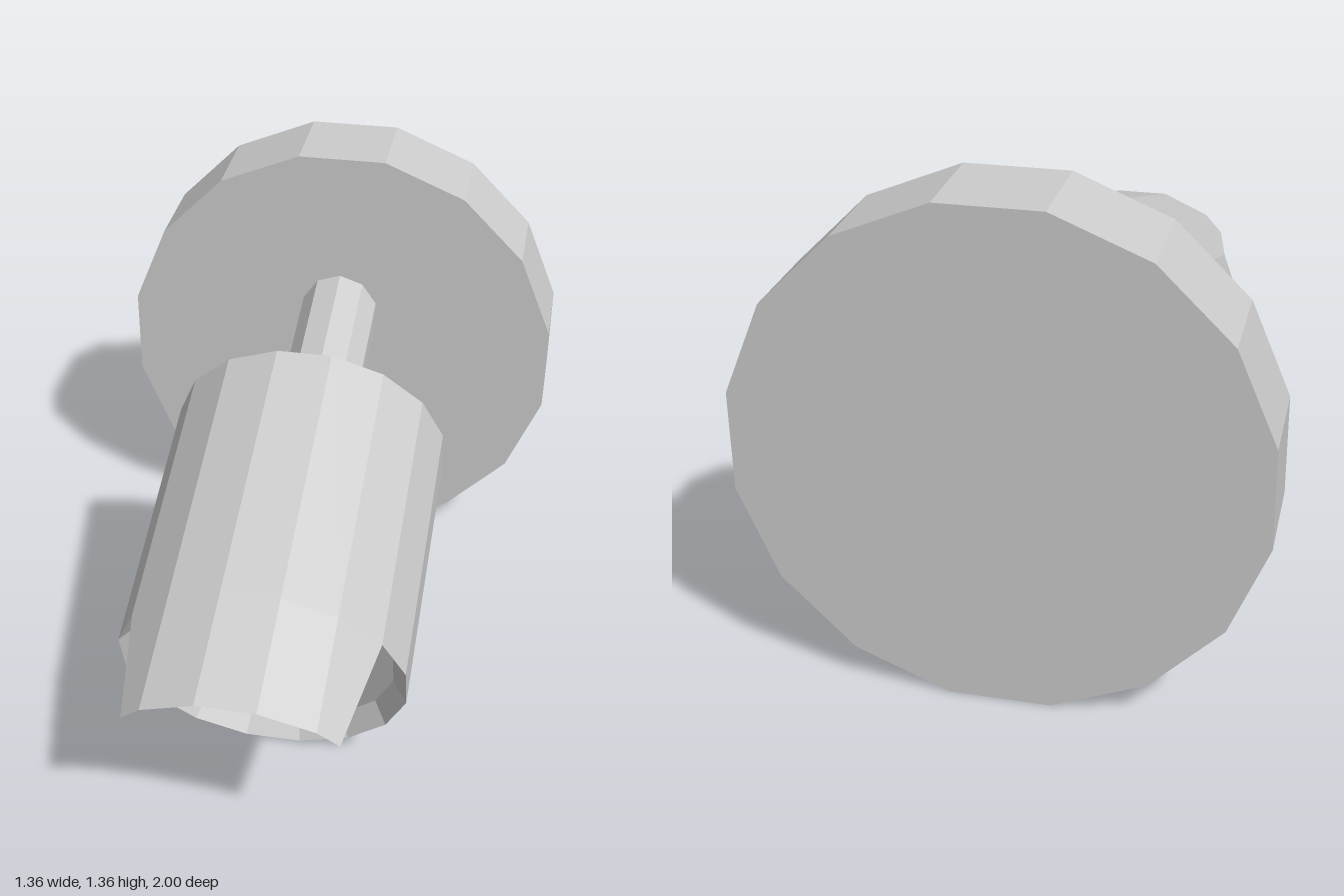
import * as THREE from 'three';

const material = new THREE.MeshStandardMaterial({ color: 0xcccccc, flatShading: true });
const thinMaterial = new THREE.MeshStandardMaterial({ color: 0xcccccc, flatShading: true, side: THREE.DoubleSide });

const SIDES = 16;
const HALF_STEP = Math.PI / SIDES; // puts a flat facet at the top
const HEAD_RADIUS = 0.41;
const HEAD_LENGTH = 0.82;
const VISOR_TIP = 1.155;

function addPart(parent, name, geometry, mat = material) {
  const mesh = new THREE.Mesh(geometry, mat);
  mesh.name = name;
  parent.add(mesh);
  return mesh;
}

// Thin visor continuing the upper facets of the lamp head; its ends are cut at a slant
function visorGeometry() {
  const positions = [];
  const index = [];
  const steps = [-5, -3, -1, 1, 3, 5];
  steps.forEach((step, i) => {
    const end = Math.abs(step) === 5;
    const rootAngle = step * HALF_STEP;
    const tipAngle = end ? Math.sign(step) * 4 * HALF_STEP : rootAngle;
    const tipRadius = end ? HEAD_RADIUS * Math.cos(HALF_STEP) : HEAD_RADIUS;
    positions.push(HEAD_RADIUS * Math.sin(rootAngle), HEAD_RADIUS * Math.cos(rootAngle), HEAD_LENGTH);
    positions.push(tipRadius * Math.sin(tipAngle), tipRadius * Math.cos(tipAngle), VISOR_TIP);
    if (i < steps.length - 1) {
      const a = 2 * i;
      index.push(a, a + 1, a + 2, a + 2, a + 1, a + 3);
    }
  });
  const geometry = new THREE.BufferGeometry();
  geometry.setAttribute('position', new THREE.Float32BufferAttribute(positions, 3));
  geometry.setIndex(index);
  geometry.computeVertexNormals();
  return geometry;
}

export function createModel() {
  const model = new THREE.Group();
  model.name = 'wallSpotlight';

  // Round mounting plate at the back
  const plate = new THREE.CylinderGeometry(0.691, 0.691, 0.275, SIDES, 1, false, HALF_STEP);
  plate.rotateX(Math.PI / 2);
  addPart(model, 'mountingPlate', plate).position.set(0, 0.678, -0.8625);

  // Sloping arm, sunk into the plate and the head
  const arm = new THREE.CylinderGeometry(0.124, 0.124, 0.783, 10);
  arm.rotateX(Math.PI / 2);
  const armMesh = addPart(model, 'arm', arm);
  armMesh.position.set(0, 0.75, -0.475);
  armMesh.rotation.x = THREE.MathUtils.degToRad(16.8);

  // Lamp head, tilted downwards, with its origin at the centre of the back face
  const head = new THREE.Group();
  head.name = 'lampHead';
  head.position.set(0, 0.66, -0.2225);
  head.rotation.x = THREE.MathUtils.degToRad(19.3);
  model.add(head);

  // Housing with a bevelled rim
  const profile = [[0, 0], [HEAD_RADIUS, 0], [HEAD_RADIUS, HEAD_LENGTH], [0.365, 0.76]];
  const housing = new THREE.LatheGeometry(profile.map(([r, y]) => new THREE.Vector2(r, y)), SIDES, HALF_STEP);
  housing.rotateX(Math.PI / 2);
  addPart(head, 'housing', housing);

  // Recessed lens
  addPart(head, 'lens', new THREE.CircleGeometry(0.365, SIDES, HALF_STEP)).position.z = 0.76;

  addPart(head, 'visor', visorGeometry(), thinMaterial);

  return model;
}
